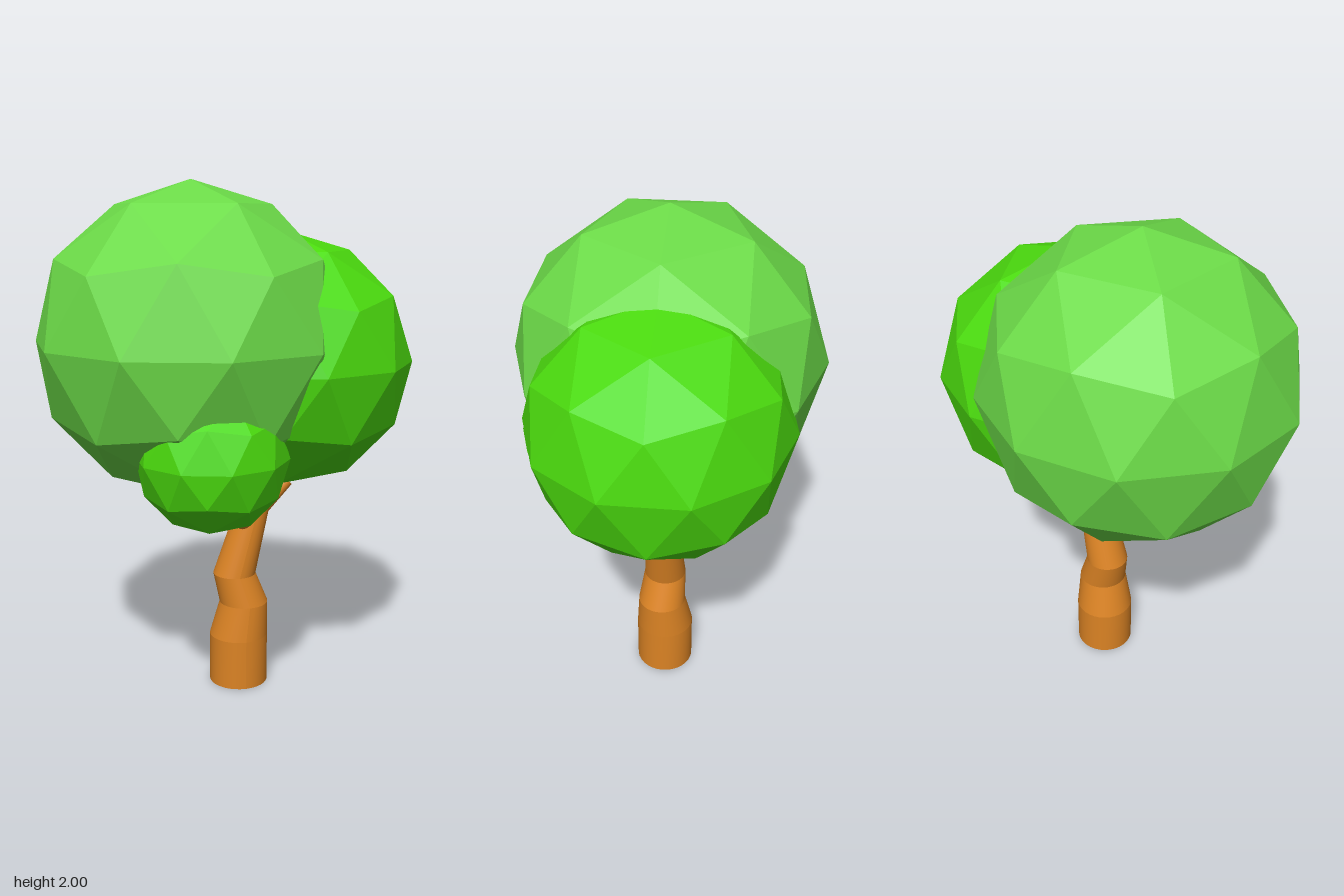
import * as THREE from 'three';

const V = (x, y, z) => new THREE.Vector3(x, y, z);

export function createModel() {
  const tree = new THREE.Group();
  tree.name = 'tree';

  const bark = new THREE.MeshStandardMaterial({ color: 0xdb8324 });
  bark.name = 'bark';
  const paleLeaf = new THREE.MeshStandardMaterial({ color: 0x6cdb48, flatShading: true });
  paleLeaf.name = 'pale leaf';
  const brightLeaf = new THREE.MeshStandardMaterial({ color: 0x4bdb0e, flatShading: true });
  brightLeaf.name = 'bright leaf';

  function add(parent, name, geometry, material) {
    const mesh = new THREE.Mesh(geometry, material);
    mesh.name = name;
    parent.add(mesh);
    return mesh;
  }

  // Crown: faceted icospheres with one vertex pointing straight up
  function foliage(name, radius, x, y, z, material) {
    const geo = new THREE.IcosahedronGeometry(radius, 1);
    geo.rotateZ(-Math.atan(2 / (1 + Math.sqrt(5))));
    geo.computeVertexNormals();
    add(tree, name, geo, material).position.set(x, y, z);
  }
  foliage('largeFoliage', 0.6, -0.14, 1.4, 0, paleLeaf);
  foliage('sideFoliage', 0.497, 0.23, 1.316, 0, brightLeaf);
  foliage('smallFoliage', 0.28, -0.14, 1.02, 0.32, brightLeaf);

  // Trunk: stacked sheared cylinders, rings given as [x, y, z, radius]
  const rings = [
    [0.048, 0, 0, 0.117],
    [0.048, 0.2, 0, 0.117],
    [0.066, 0.34, 0.01, 0.097],
    [0.03, 0.46, 0, 0.085],
    [0.105, 0.73, 0.003, 0.066],
    [0.11, 0.87, 0, 0.05],
  ];
  const trunk = new THREE.Group();
  trunk.name = 'trunk';
  tree.add(trunk);
  for (let i = 0; i < rings.length - 1; i++) {
    const [x0, y0, z0, r0] = rings[i];
    const [x1, y1, z1, r1] = rings[i + 1];
    const h = y1 - y0;
    const open = i > 0 && i < rings.length - 2;
    const geo = new THREE.CylinderGeometry(r1, r0, h, 32, 1, open);
    const p = geo.attributes.position;
    for (let k = 0; k < p.count; k++) {
      const t = p.getY(k) / h + 0.5;
      p.setXYZ(k,
        p.getX(k) + x0 + (x1 - x0) * t,
        y0 + h * t,
        p.getZ(k) + z0 + (z1 - z0) * t);
    }
    geo.computeVertexNormals();
    add(trunk, 'trunkSection', geo, bark);
  }

  // Branches: tapered limbs with rounded joints along a short path
  function branch(name, points, radii) {
    const group = new THREE.Group();
    group.name = name;
    tree.add(group);
    for (let i = 0; i < points.length - 1; i++) {
      const dir = points[i + 1].clone().sub(points[i]);
      const geo = new THREE.CylinderGeometry(radii[i + 1], radii[i], dir.length(), 16);
      const limb = add(group, 'limb', geo, bark);
      limb.position.copy(points[i]).addScaledVector(dir, 0.5);
      limb.quaternion.setFromUnitVectors(V(0, 1, 0), dir.normalize());
      if (i > 0) {
        add(group, 'joint', new THREE.SphereGeometry(radii[i], 16, 10), bark)
          .position.copy(points[i]);
      }
    }
  }
  branch('frontBranch', [V(0.06, 0.67, 0.03), V(0.02, 0.85, 0.2)], [0.034, 0.024]);
  branch('sideBranch', [V(0.11, 0.69, 0), V(0.25, 0.83, 0)], [0.032, 0.024]);
  branch('backBranch',
    [V(0.07, 0.68, -0.01), V(-0.08, 0.77, -0.13), V(-0.12, 0.86, -0.135)],
    [0.034, 0.027, 0.022]);

  return tree;
}
